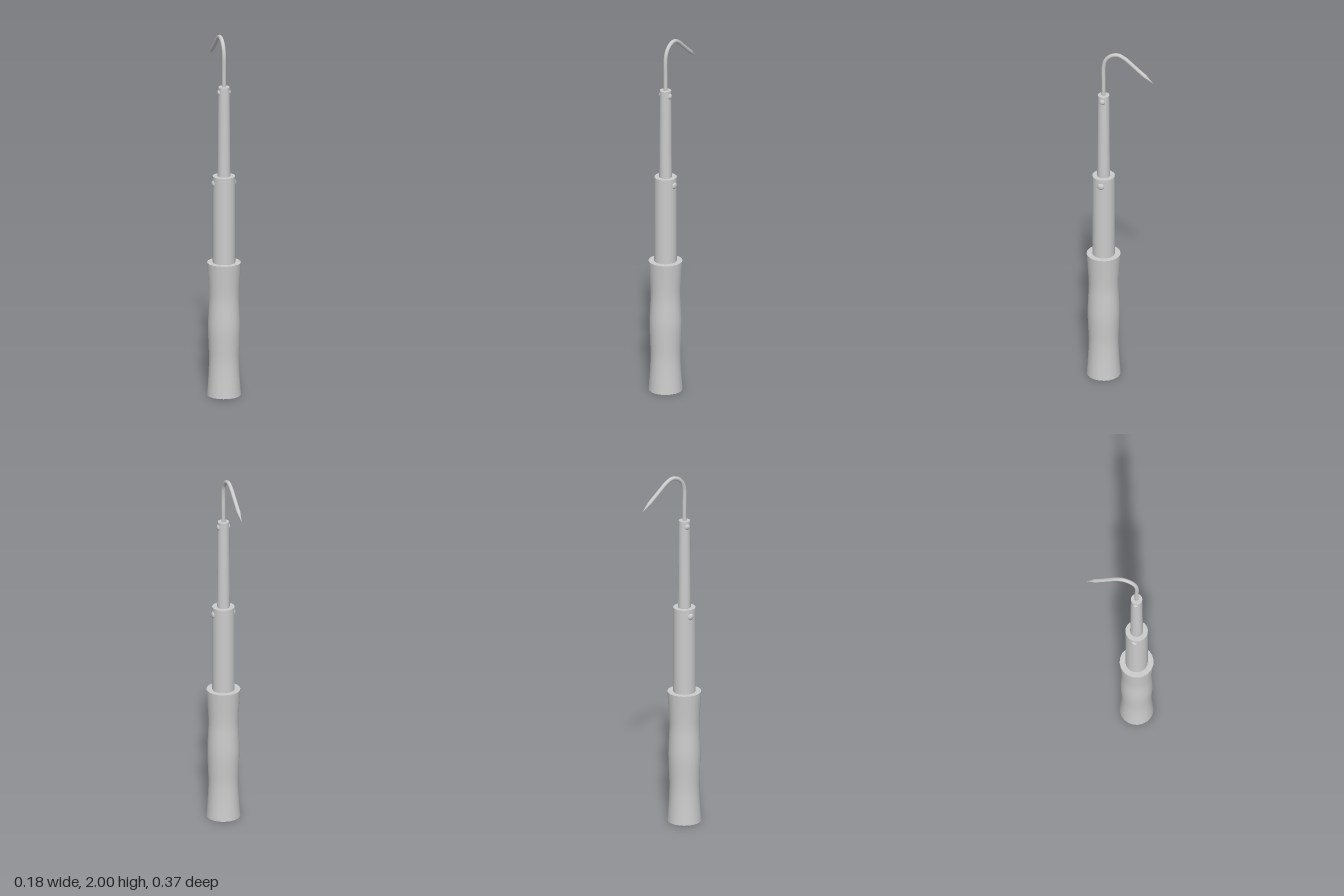
import * as THREE from 'three';

const AXIS_Z = 0.093;
const SIDES = 20;

export function createModel() {
  const model = new THREE.Group();
  const metal = new THREE.MeshStandardMaterial({ color: 0xcccccc });
  metal.name = 'grey metal';

  const add = (name, geometry, parent = model) => {
    const mesh = new THREE.Mesh(geometry, metal);
    mesh.name = name;
    parent.add(mesh);
    return mesh;
  };

  // Grip: waisted profile with flat ends
  const grip = new THREE.Group();
  grip.name = 'grip';
  grip.position.z = AXIS_Z;
  model.add(grip);
  const outline = new THREE.SplineCurve([
    [0.092, 0], [0.085, 0.1], [0.081, 0.2], [0.084, 0.29], [0.087, 0.38],
    [0.084, 0.47], [0.081, 0.55], [0.085, 0.64], [0.092, 0.745],
  ].map(([r, y]) => new THREE.Vector2(r, y))).getPoints(24);
  add('gripBody', new THREE.LatheGeometry(outline, SIDES), grip);
  const top = add('gripTop', new THREE.CircleGeometry(0.092, SIDES), grip);
  top.rotation.x = -Math.PI / 2;
  top.position.y = 0.745;
  const bottom = add('gripBottom', new THREE.CircleGeometry(0.092, SIDES), grip);
  bottom.rotation.x = Math.PI / 2;

  // Telescoping shaft sections, each with a domed pin on both sides
  const section = (name, rTop, rBottom, y0, y1, pinY, pinR, pinReach) => {
    const tube = add(name, new THREE.CylinderGeometry(rTop, rBottom, y1 - y0, SIDES));
    tube.position.set(0, (y0 + y1) / 2, AXIS_Z);
    for (const side of [-1, 1]) {
      const pin = add(name + 'Pin', new THREE.SphereGeometry(pinR, 16, 10));
      pin.scale.x = 0.6;
      pin.position.set(side * (pinReach - pinR * 0.6), pinY, AXIS_Z);
    }
  };
  section('lowerShaft', 0.061, 0.061, 0.72, 1.23, 1.19, 0.019, 0.069);
  section('upperShaft', 0.031, 0.035, 1.2, 1.73, 1.7, 0.016, 0.038);

  // Hook: straight stem, rounded bend and sloping end
  const at = (z, y) => new THREE.Vector3(0, y, z);
  const bendStart = at(AXIS_Z, 1.905);
  const bend = new THREE.CatmullRomCurve3([
    at(AXIS_Z, 1.7), at(AXIS_Z, 1.8), bendStart, at(0.083, 1.945), at(0.055, 1.977),
    at(0.015, 1.989), at(-0.025, 1.973), at(-0.06, 1.945), at(-0.1, 1.911), at(-0.14, 1.878),
  ]);
  add('hook', new THREE.TubeGeometry(bend, 48, 0.011, 12, false));

  // Sharpened point, aimed along the end of the hook
  const base = bend.getPoint(1);
  const tip = at(-0.185, 1.841);
  const point = add('hookPoint', new THREE.ConeGeometry(0.011, base.distanceTo(tip), 12));
  point.position.copy(base).lerp(tip, 0.5);
  point.quaternion.setFromUnitVectors(new THREE.Vector3(0, 1, 0), tip.clone().sub(base).normalize());

  return model;
}
